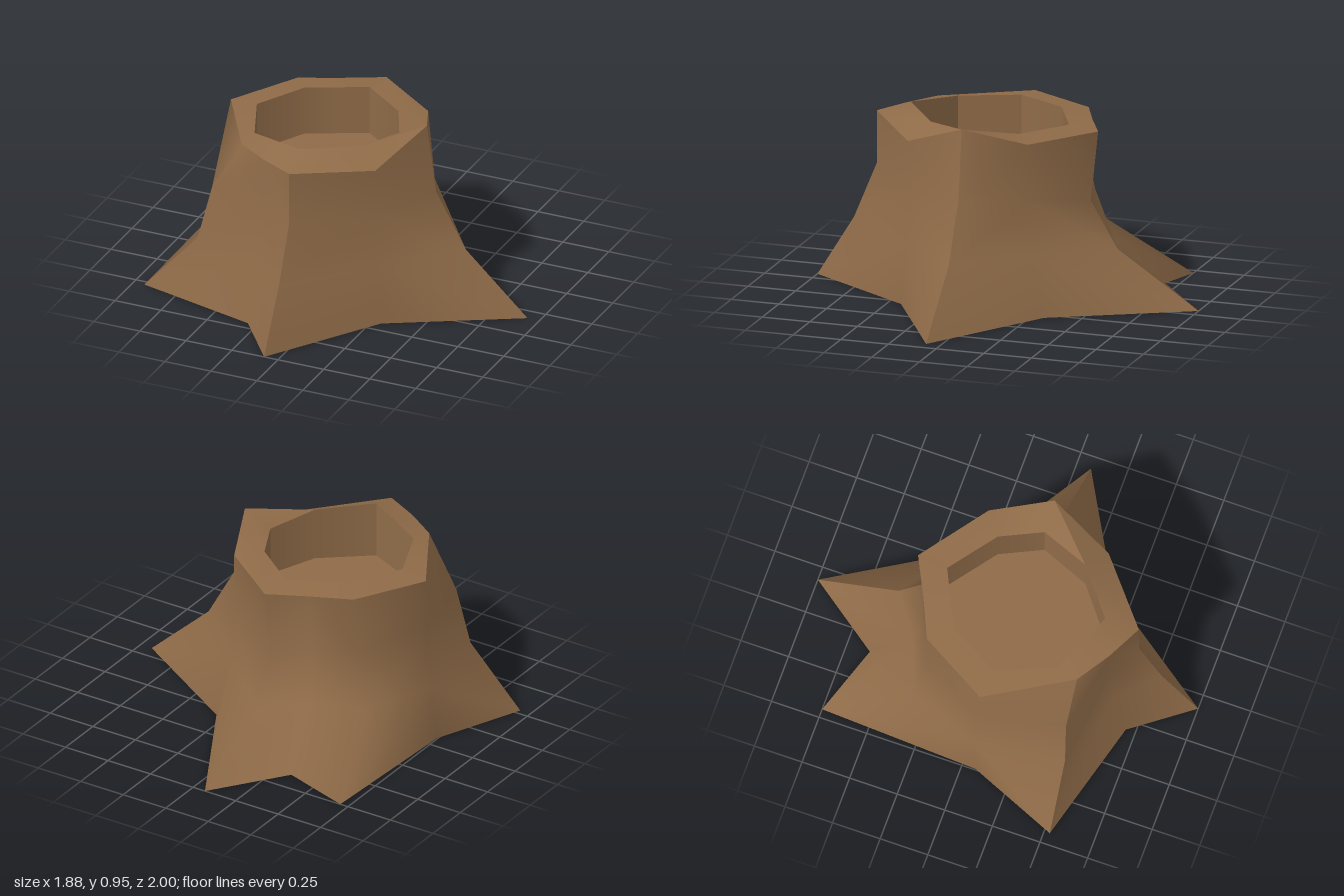
import * as THREE from 'three';
import { toCreasedNormals } from 'three/addons/utils/BufferGeometryUtils.js';

// Skins rows of [x, y, z] points, from the first row to the last. Closed rows join their ends.
// The diagonals alternate, so both sides of a root fold alike.
function loft(rows, closed) {
  const n = rows[0].length;
  const index = [];
  for (let r = 0; r < rows.length - 1; r++) {
    for (let i = 0; i < (closed ? n : n - 1); i++) {
      const a = r * n + i, b = r * n + (i + 1) % n;
      const c = a + n, d = b + n;
      if (i % 2) index.push(a, b, d, a, d, c);
      else index.push(a, b, c, b, d, c);
    }
  }
  const geometry = new THREE.BufferGeometry();
  geometry.setAttribute('position', new THREE.Float32BufferAttribute(rows.flat(2), 3));
  geometry.setIndex(index);
  geometry.computeVertexNormals();
  return geometry;
}

export function createModel() {
  const wood = new THREE.MeshStandardMaterial({ color: 0x8f6b48, side: THREE.DoubleSide });
  wood.name = 'brown wood';

  // Root crests and the valleys between them, each from the rim to the ground.
  const ribs = [
    [[-0.08, 0.87, -0.47], [-0.085, 0.51, -0.43], [-0.085, 0.275, -0.57], [-0.07, 0, -1.0]],
    [[0.26, 0.87, -0.22], [0.26, 0.58, -0.22], [0.27, 0.3, -0.23], [0.30, 0, -0.32]],
    [[0.39, 0.955, 0.08], [0.44, 0.6, 0.08], [0.60, 0.31, 0.075], [0.935, 0, 0.075]],
    [[0.26, 0.83, 0.41], [0.26, 0.58, 0.41], [0.27, 0.3, 0.41], [0.30, 0, 0.43]],
    [[-0.08, 0.87, 0.69], [-0.08, 0.6, 0.69], [-0.08, 0.31, 0.81], [-0.075, 0, 1.0]],
    [[-0.26, 0.87, 0.60], [-0.27, 0.6, 0.60], [-0.28, 0.31, 0.62], [-0.30, 0, 0.70]],
    [[-0.43, 0.87, 0.49], [-0.59, 0.6, 0.49], [-0.66, 0.31, 0.51], [-0.94, 0, 0.53]],
    [[-0.68, 0.87, 0.07], [-0.685, 0.6, 0.07], [-0.715, 0.29, 0.05], [-0.745, 0, 0.07]],
    [[-0.48, 0.87, -0.28], [-0.49, 0.58, -0.28], [-0.58, 0.29, -0.31], [-0.705, 0, -0.75]],
    [[-0.28, 0.87, -0.37], [-0.28, 0.55, -0.37], [-0.30, 0.29, -0.42], [-0.34, 0, -0.63]],
  ];

  // Mouth of the hollow, and the flat floor below it.
  const mouth = [
    [-0.10, 0.885, -0.31], [0.14, 0.885, -0.13], [0.24, 0.885, 0.08], [0.14, 0.905, 0.33],
    [-0.10, 0.925, 0.52], [-0.255, 0.905, 0.45], [-0.41, 0.885, 0.38], [-0.53, 0.885, 0.09],
    [-0.39, 0.885, -0.17], [-0.245, 0.885, -0.24],
  ];
  const floorY = 0.63;
  const floorEdge = mouth.map(([x, , z]) => [x, floorY, z]);

  const model = new THREE.Group();
  model.name = 'hollowTreeStump';
  const add = (name, geometry) => {
    const mesh = new THREE.Mesh(geometry, wood);
    mesh.name = name;
    model.add(mesh);
    return mesh;
  };

  // Bark: smooth panels that meet in sharp crests along four of the roots.
  const crests = [0, 2, 4, 6, 10];
  for (let p = 0; p < crests.length - 1; p++) {
    const panel = [];
    for (let i = crests[p]; i <= crests[p + 1]; i++) panel.push(ribs[i % ribs.length]);
    const rows = [0, 1, 2, 3].map((level) => panel.map((rib) => rib[level]));
    add('barkPanel' + (p + 1), loft(rows, false));
  }

  // Cut rim and the wall of the hollow.
  add('cutRim', toCreasedNormals(loft([mouth, ribs.map((rib) => rib[0])], true), 0.72));
  add('hollowWall', toCreasedNormals(loft([floorEdge, mouth], true), 0.72));

  // Floor plate, laid flat from the outline of the hollow.
  const outline = new THREE.Shape(mouth.map(([x, , z]) => new THREE.Vector2(x, -z)));
  const floor = add('hollowFloor', new THREE.ShapeGeometry(outline));
  floor.rotation.x = -Math.PI / 2;
  floor.position.y = floorY;

  return model;
}
